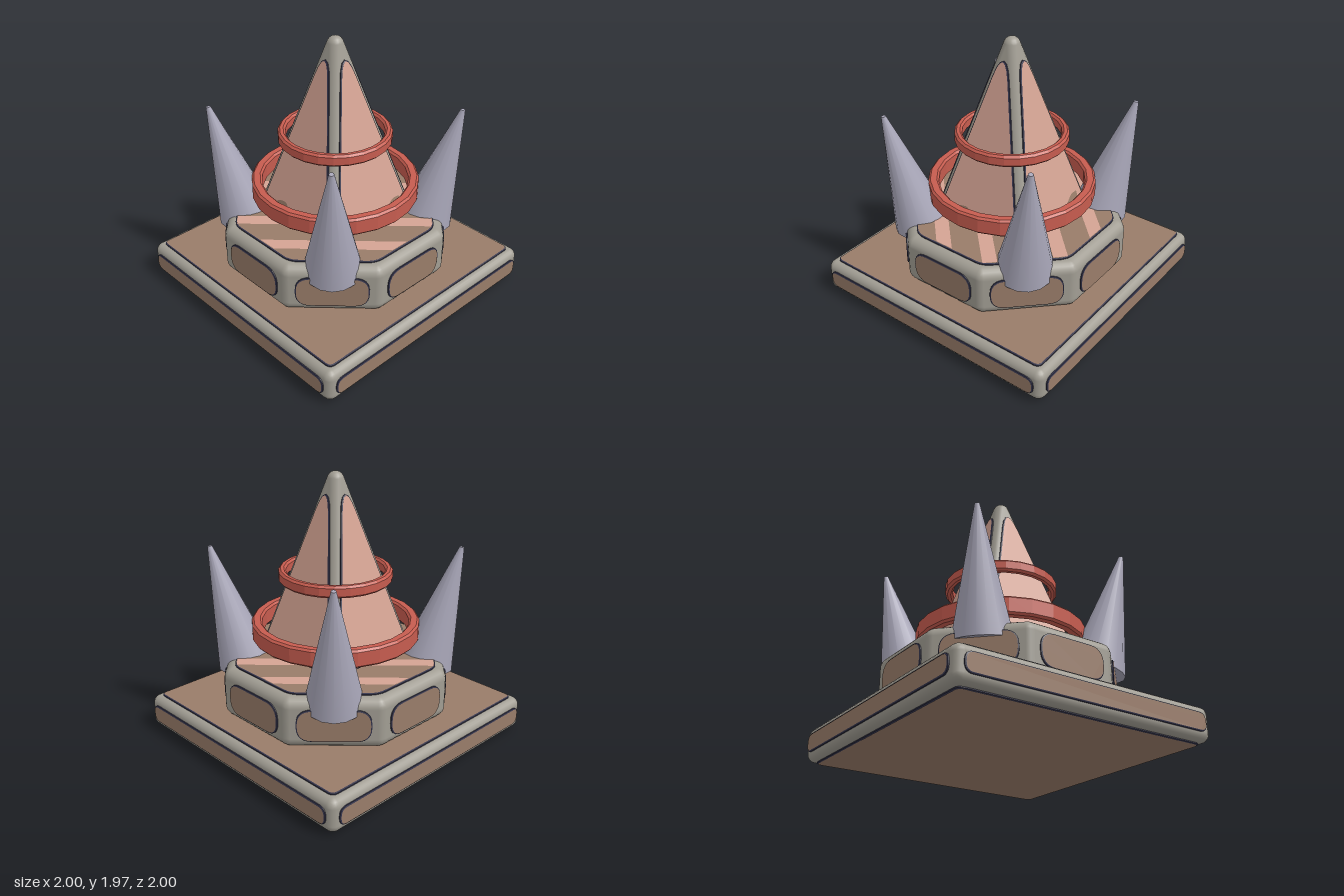
import * as THREE from 'three';
import { ConvexGeometry } from 'three/addons/geometries/ConvexGeometry.js';

function mat(name, color) {
  const m = new THREE.MeshStandardMaterial({ color });
  m.name = name;
  return m;
}

export function createModel() {
  const stone = mat('grey stone', 0xa19d93);
  const brown = mat('brown panel', 0x997c69);
  const pink = mat('pink panel', 0xd4a393);
  const navy = mat('dark rim', 0x36364e);
  const red = mat('red ring', 0xc65c4f);
  const steel = mat('pale steel', 0xa8a6b8);

  const model = new THREE.Group();
  const add = (parent, name, geometry, material) => {
    const mesh = new THREE.Mesh(geometry, material);
    mesh.name = name;
    parent.add(mesh);
    return mesh;
  };

  // Solid with rounded edges: hull of equal spheres, with exact smooth normals
  function roundedHull(centres, r) {
    const ball = new THREE.SphereGeometry(r, 16, 12).attributes.position;
    const pts = [];
    for (const c of centres)
      for (let i = 0; i < ball.count; i++)
        pts.push(new THREE.Vector3().fromBufferAttribute(ball, i).add(c));
    const g = new ConvexGeometry(pts);
    const p = g.attributes.position, n = g.attributes.normal, v = new THREE.Vector3();
    for (let i = 0; i < p.count; i++) {
      v.fromBufferAttribute(p, i);
      const near = centres.reduce((a, b) => (v.distanceTo(b) < v.distanceTo(a) ? b : a));
      v.sub(near).normalize();
      n.setXYZ(i, v.x, v.y, v.z);
    }
    return g;
  }

  // Polygon with softened corners; cuts gives the corner lengths
  function softShape(points, cuts) {
    const s = new THREE.Shape();
    const P = points.map(([x, y]) => new THREE.Vector2(x, y));
    P.forEach((p, i) => {
      const toward = (q) => q.clone().sub(p).setLength(cuts[i % cuts.length]).add(p);
      const a = toward(P[(i + P.length - 1) % P.length]), b = toward(P[(i + 1) % P.length]);
      if (i) s.lineTo(a.x, a.y); else s.moveTo(a.x, a.y);
      s.quadraticCurveTo(p.x, p.y, b.x, b.y);
    });
    s.closePath();
    return s;
  }

  // Dark raised rim with a coloured face plate, facing local +z
  function panel(name, shape, material) {
    const g = new THREE.Group();
    g.name = name;
    g.rotation.order = 'YXZ';
    add(g, name + 'Rim', new THREE.ExtrudeGeometry(shape, {
      depth: 0.008, curveSegments: 6, bevelThickness: 0.003, bevelSize: 0.008, bevelSegments: 1,
    }), navy);
    add(g, name + 'Face', new THREE.ShapeGeometry(shape, 6), material).position.z = 0.0135;
    model.add(g);
    return g;
  }
  const rect = (w, h) => [[-w, -h], [w, -h], [w, h], [-w, h]];
  const ring8 = (apothem) => Array.from({ length: 8 }, (_, i) => {
    const a = (i + 0.5) * Math.PI / 4, r = apothem / Math.cos(Math.PI / 8);
    return [r * Math.cos(a), r * Math.sin(a)];
  });
  const stack = (pts, ys) => ys.flatMap((y) => pts.map(([x, z]) => new THREE.Vector3(x, y, z)));

  // Square base
  add(model, 'baseSlab', roundedHull(stack(rect(0.925, 0.925), [0.073, 0.197]), 0.06), stone);
  for (let i = 0; i < 4; i++) {
    const p = panel('baseSidePanel', softShape(rect(0.92, 0.058), [0.05]), brown);
    p.rotation.y = i * Math.PI / 2;
    p.position.set(Math.sin(p.rotation.y), 0, Math.cos(p.rotation.y)).multiplyScalar(0.985);
    p.position.y = 0.135;
  }
  for (const s of [1, -1]) {
    const p = panel(s > 0 ? 'baseTopPanel' : 'baseBottomPanel', softShape(rect(0.92, 0.92), [0.04]), brown);
    p.rotation.x = -s * Math.PI / 2;
    p.position.y = s > 0 ? 0.257 : 0.0137;
  }

  // Octagonal tier
  add(model, 'octagonTier', roundedHull(stack(ring8(0.705), [0.34, 0.56]), 0.075), stone);
  for (let i = 0; i < 8; i++) {
    const p = panel('tierSidePanel', softShape(rect(0.245, 0.11), [0.1]), brown);
    p.rotation.y = i * Math.PI / 4;
    p.position.set(Math.sin(p.rotation.y), 0, Math.cos(p.rotation.y)).multiplyScalar(0.78);
    p.position.y = 0.445;
  }
  const tierTop = panel('tierTopPanel', softShape(ring8(0.7), [0.06]), brown);
  tierTop.rotation.x = -Math.PI / 2;
  tierTop.position.y = 0.634;

  // Diagonal pink stripes on the tier top
  const halfLength = (v) => 0.695 - Math.max(0, Math.abs(v) - 0.29);
  for (const s of [1, -1]) for (const [v0, v1] of [[0.19, 0.29], [0.48, 0.58]]) {
    const a = halfLength(v0), b = halfLength(v1);
    const stripe = new THREE.Shape([[-a, v0], [a, v0], [b, v1], [-b, v1]]
      .map(([u, v]) => new THREE.Vector2(u, v * s)));
    const m = add(tierTop, 'tierStripe', new THREE.ShapeGeometry(stripe), pink);
    m.rotation.z = -Math.PI / 4;
    m.position.z = 0.0165;
  }

  // Pyramid with rounded ridges
  const slope = 0.272, tilt = Math.atan(slope), apexY = 1.91, r = 0.06;
  const foot = slope * (apexY - 0.71);
  add(model, 'pyramid', roundedHull(
    [...stack(rect(foot, foot), [0.71]), new THREE.Vector3(0, apexY, 0)], r), stone);
  const low = 0.69, high = 1.93, len = (high - low) / Math.cos(tilt), w = slope * (high - low);
  for (let i = 0; i < 4; i++) {
    const p = panel('pyramidPanel',
      softShape([[-w, 0], [w, 0], [0, len]], [0.04, 0.04, 0.25]), pink);
    const d = r / Math.cos(tilt) + slope * (apexY - low);
    p.rotation.set(-tilt, i * Math.PI / 2, 0);
    p.position.set(d * Math.sin(p.rotation.y), low, d * Math.cos(p.rotation.y));
    for (const patch of [[[-0.25, 0.01], [-0.04, 0.01], [-0.1, 0.09], [-0.17, 0.08]],
      [[0.09, 0.01], [0.26, 0.01], [0.27, 0.09], [0.2, 0.09]]])
      add(p, 'pyramidPatch', new THREE.ShapeGeometry(softShape(patch, [0.02])), brown)
        .position.z = 0.0155;
  }

  // Floating rings with bevelled edges and flat facets
  function ring(name, inner, outer, y0, y1) {
    const b = 0.015;
    const profile = [[inner, y0 + b], [inner + b, y0], [outer - b, y0], [outer, y0 + b],
      [outer, y1 - b], [outer - b, y1], [inner + b, y1], [inner, y1 - b], [inner, y0 + b]]
      .map(([x, y]) => new THREE.Vector2(x, y));
    const g = new THREE.LatheGeometry(profile, 24).toNonIndexed();
    g.computeVertexNormals();
    add(model, name, g, red);
  }
  ring('lowerRing', 0.53, 0.606, 0.768, 0.9);
  ring('upperRing', 0.352, 0.406, 1.193, 1.28);

  // Four spikes leaning outwards at the corners
  for (const sx of [1, -1]) for (const sz of [1, -1]) {
    const base = new THREE.Vector3(0.468 * sx, 0.555, 0.468 * sz);
    const axis = new THREE.Vector3(0.625 * sx, 1.432, 0.625 * sz).sub(base);
    const m = add(model, 'cornerSpike',
      new THREE.CylinderGeometry(0.017, 0.205, axis.length(), 16), steel);
    m.position.copy(base).addScaledVector(axis, 0.5);
    m.quaternion.setFromUnitVectors(new THREE.Vector3(0, 1, 0), axis.clone().normalize());
  }
  return model;
}
